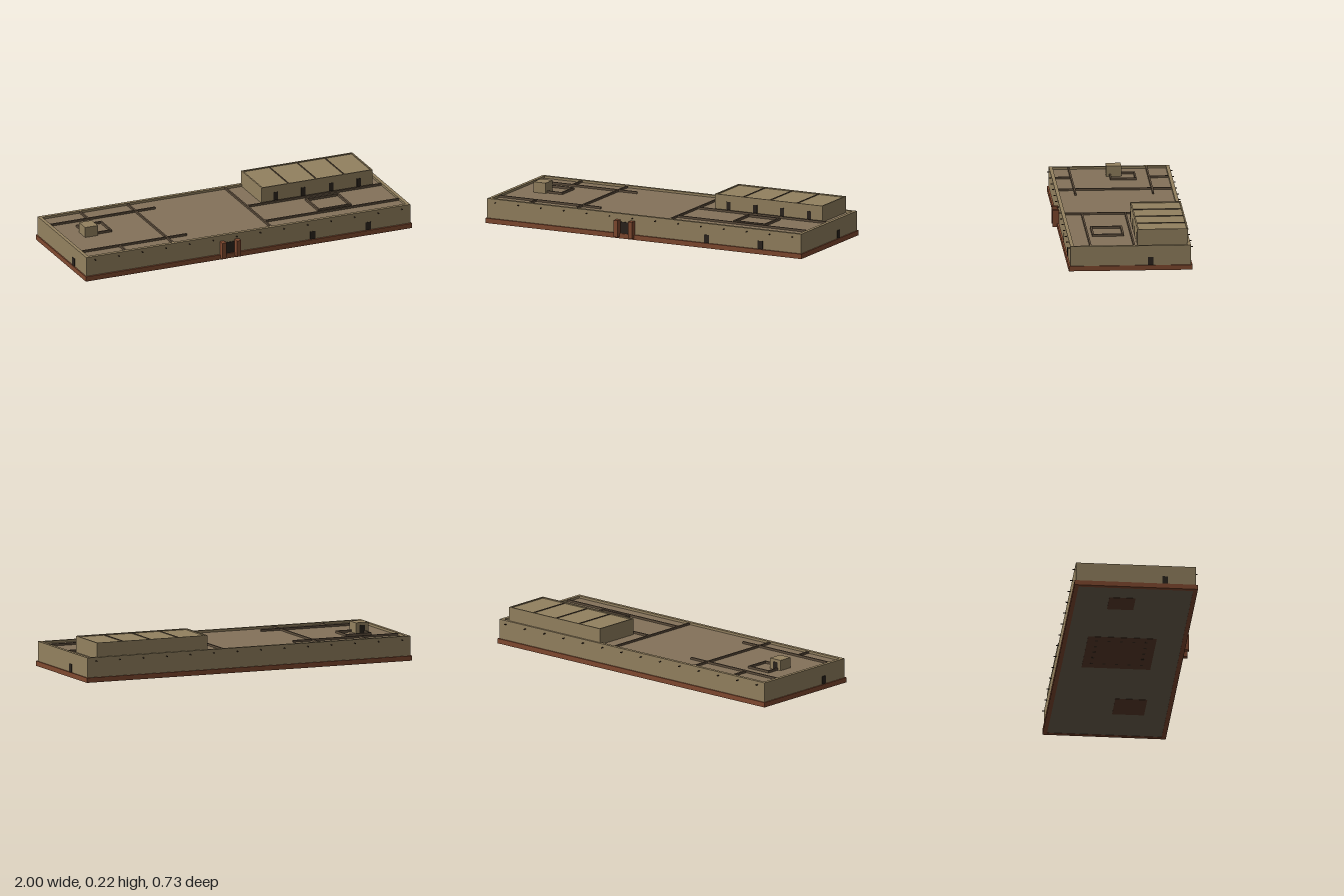
import * as THREE from 'three';

const mat = (color) => new THREE.MeshStandardMaterial({ color });
const M = {
  wall: mat(0x93815f), roof: mat(0x84725a), upperRoof: mat(0x92815f), plinth: mat(0x80492f),
  curb: mat(0x5f4f3d), dark: mat(0x2a231c), floor: mat(0x6e6150), pit: mat(0x5a3c2c), wood: mat(0x3a2a1e),
};

export function createModel() {
  const model = new THREE.Group();

  // Box given by its limits on each axis
  const box = (name, m, x0, x1, y0, y1, z0, z1, parent = model) => {
    const mesh = new THREE.Mesh(new THREE.BoxGeometry(x1 - x0, y1 - y0, z1 - z0), m);
    mesh.position.set((x0 + x1) / 2, (y0 + y1) / 2, (z0 + z1) / 2);
    mesh.name = name;
    parent.add(mesh);
    return mesh;
  };

  // Rectangular ring of thickness t, extruded upward
  const ring = (name, m, x0, x1, y0, y1, z0, z1, t) => {
    const rect = (P, a, b, c, d) => {
      const p = new P();
      p.moveTo(a, c); p.lineTo(b, c); p.lineTo(b, d); p.lineTo(a, d); p.closePath();
      return p;
    };
    const shape = rect(THREE.Shape, x0, x1, -z1, -z0);
    shape.holes.push(rect(THREE.Path, x0 + t, x1 - t, -z1 + t, -z0 - t));
    const geo = new THREE.ExtrudeGeometry(shape, { depth: y1 - y0, bevelEnabled: false });
    geo.rotateX(-Math.PI / 2).translate(0, y0, 0);
    const mesh = new THREE.Mesh(geo, m);
    mesh.name = name;
    model.add(mesh);
  };

  // Plinth, ground floor and perimeter walls with a low parapet
  ring('plinth', M.plinth, -1, 1, 0, 0.028, -0.355, 0.34, 0.025);
  box('floor', M.floor, -0.98, 0.98, 0.002, 0.02, -0.34, 0.325);
  ring('outerWalls', M.wall, -0.993, 0.993, 0.02, 0.14, -0.347, 0.33, 0.02);
  box('roof', M.roof, -0.98, 0.98, 0.115, 0.127, -0.335, 0.32);

  // Curbs on the roof marking the rooms below
  const ROOF = 0.126, CURB = 0.139, h = 0.005;
  const alongX = [[-0.975, -0.33, -0.217], [-0.975, -0.33, 0.22], [0.15, 0.975, 0.215], [0.15, 0.975, -0.03]];
  const alongZ = [[-0.45, -0.33, 0.315], [0.15, -0.33, 0.315], [-0.74, -0.33, -0.217], [-0.74, 0.22, 0.315]];
  for (const [a, b, z] of alongX) box('roofCurb', M.curb, a, b, ROOF, CURB, z - h, z + h);
  for (const [x, a, b] of alongZ) box('roofCurb', M.curb, x - h, x + h, ROOF, CURB - 0.0005, a, b);
  ring('roofFrame', M.curb, 0.49, 0.695, ROOF, 0.14, 0.01, 0.19, 0.011);
  ring('roofFrame', M.curb, -0.845, -0.69, ROOF, 0.14, -0.145, 0.003, 0.009);

  // Upper storey with its rim, dividing curbs and row of doors
  box('upperStorey', M.wall, 0.25, 0.93, 0.12, 0.21, -0.335, -0.05);
  ring('upperParapet', M.wall, 0.25, 0.93, 0.21, 0.22, -0.335, -0.05, 0.008);
  box('upperRoof', M.upperRoof, 0.256, 0.924, 0.205, 0.214, -0.329, -0.056);
  for (const x of [0.42, 0.59, 0.76]) {
    box('upperCurb', M.curb, x - 0.003, x + 0.003, 0.212, 0.218, -0.328, -0.057);
  }
  for (let i = 0; i < 4; i++) {
    const x = 0.335 + 0.17 * i;
    box('upperDoor', M.dark, x - 0.013, x + 0.013, 0.127, 0.182, -0.055, -0.0485);
  }

  // Stair hut on the roof
  box('stairHut', M.wall, -0.863, -0.785, 0.12, 0.187, -0.065, 0.02);
  box('stairHutDoor', M.dark, -0.842, -0.808, 0.127, 0.172, -0.0665, -0.06);

  // Outer doors on the front and both ends
  for (const x of [0.395, 0.735]) box('frontDoor', M.dark, x - 0.016, x + 0.016, 0.028, 0.075, 0.32, 0.332);
  box('leftEndDoor', M.dark, 0.985, 0.996, 0.028, 0.075, -0.137, -0.105);
  box('rightEndDoor', M.dark, -0.996, -0.985, 0.028, 0.075, 0.14, 0.172);

  // Main gate between two projecting pillars
  box('gateOpening', M.dark, -0.148, -0.086, 0.028, 0.094, 0.32, 0.334);
  for (const s of [-1, 1]) {
    const x = -0.117 + s * 0.045;
    box('gatePillar', M.plinth, x - 0.013, x + 0.013, 0.01, 0.106, 0.325, 0.365);
  }

  // Beam ends poking through the long walls
  const beamGeo = new THREE.CylinderGeometry(0.003, 0.003, 0.03, 8).rotateX(Math.PI / 2);
  for (let i = 0; i < 14; i++) {
    for (const z of [-0.347, 0.327]) {
      const beam = new THREE.Mesh(beamGeo, M.wood);
      beam.position.set(-0.94 + (i * 1.88) / 13, 0.12, z);
      beam.name = 'beamEnd';
      model.add(beam);
    }
  }

  // Sunken court floors showing on the underside, the large one with post feet
  box('greatCourtFloor', M.pit, -0.32, 0.09, 0.0005, 0.01, -0.217, 0.17);
  box('eastCourtFloor', M.pit, 0.49, 0.695, 0.0005, 0.01, 0.01, 0.19);
  box('westCourtFloor', M.pit, -0.845, -0.69, 0.0005, 0.01, -0.145, 0.003);
  for (let i = 0; i < 5; i++) {
    for (let j = 0; j < 5; j++) {
      if (i % 4 && j % 4) continue;
      const x = -0.265 + i * 0.075, z = -0.165 + j * 0.07;
      box('postFoot', M.wood, x - 0.008, x + 0.008, 0, 0.01, z - 0.008, z + 0.008);
    }
  }

  return model;
}
